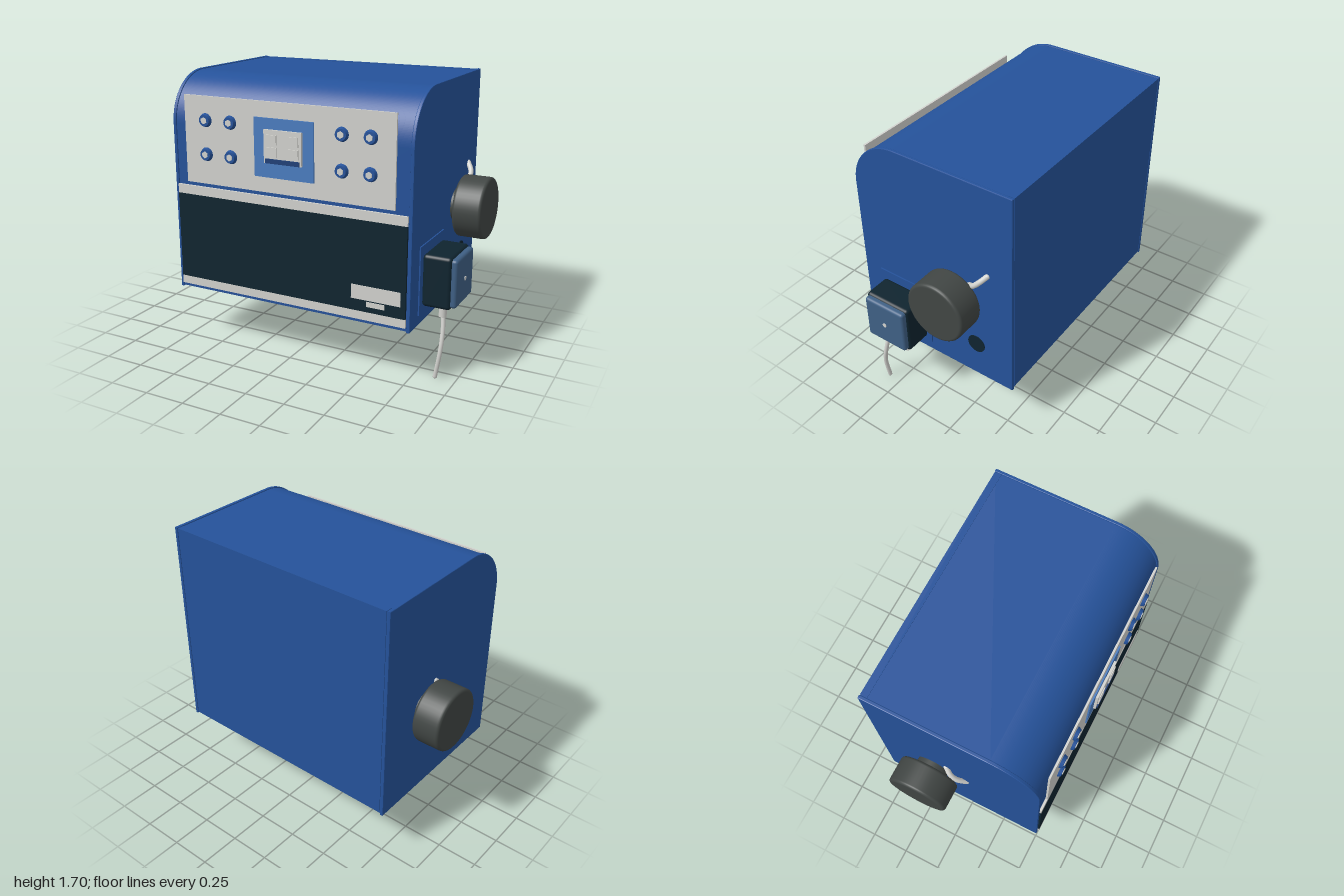
import * as THREE from 'three';
import { RoundedBoxGeometry } from 'three/addons/geometries/RoundedBoxGeometry.js';

const mat = (name, color) => {
  const m = new THREE.MeshStandardMaterial({ color });
  m.name = name;
  return m;
};

export function createModel() {
  const root = new THREE.Group();
  root.name = 'controlCabinet';

  const blue = mat('cabinet blue', 0x25529a);
  const lightBlue = mat('light blue', 0x4a7cc0);
  const navy = mat('navy bar', 0x1f4078);
  const light = mat('light grey', 0xd2d2ce);
  const dark = mat('dark teal', 0x0f242f);
  const steel = mat('slate blue', 0x3f6085);
  const rubber = mat('charcoal', 0x414644);

  const add = (name, geo, material) => {
    const mesh = new THREE.Mesh(geo, material);
    mesh.name = name;
    root.add(mesh);
    return mesh;
  };
  // box given by its limits on each axis
  const box = (name, material, x0, x1, y0, y1, z0, z1, r = 0) => {
    const s = [x1 - x0, y1 - y0, z1 - z0];
    const geo = r ? new RoundedBoxGeometry(...s, 4, r) : new THREE.BoxGeometry(...s);
    const mesh = add(name, geo, material);
    mesh.position.set((x0 + x1) / 2, (y0 + y1) / 2, (z0 + z1) / 2);
    return mesh;
  };
  // cylinder lying along x
  const discX = (name, material, x0, x1, y, z, r) => {
    const geo = new THREE.CylinderGeometry(r, r, x1 - x0, 40).rotateZ(Math.PI / 2);
    add(name, geo, material).position.set((x0 + x1) / 2, y, z);
  };
  const tube = (name, material, points, r, segments = 24) => {
    const pts = points.map((p) => new THREE.Vector3(...p));
    add(name, new THREE.TubeGeometry(new THREE.CatmullRomCurve3(pts), segments, r, 12), material);
    for (const p of [pts[0], pts[pts.length - 1]])
      add(name + 'End', new THREE.SphereGeometry(r, 12, 8), material).position.copy(p);
  };
  // side outline with a rounded upper front corner, extruded along x
  const profile = (name, material, x0, x1, inset, bevel = 0) => {
    const front = -0.517 + inset + bevel, back = 0.557 - inset - bevel;
    const low = 0.338 + inset + bevel, top = 1.695 - inset - bevel, r = 0.3 - inset - bevel;
    const s = new THREE.Shape();
    s.moveTo(front, low);
    s.lineTo(back, low);
    s.lineTo(back, top);
    s.lineTo(front + r, top);
    s.absarc(front + r, top - r, r, Math.PI / 2, Math.PI, false);
    s.lineTo(front, low);
    const geo = new THREE.ExtrudeGeometry(s, {
      depth: x1 - x0 - 2 * bevel, curveSegments: 28, bevelEnabled: bevel > 0,
      bevelSize: bevel, bevelThickness: bevel, bevelSegments: 2,
    });
    add(name, geo.rotateY(Math.PI / 2), material).position.x = x0 + bevel;
  };

  // cabinet: shell, two end plates, back plate
  profile('shell', blue, -0.765, 0.763, 0.006);
  profile('leftEndPlate', blue, 0.764, 0.785, 0, 0.004);
  profile('rightEndPlate', blue, -0.787, -0.766, 0, 0.004);
  box('backPlate', blue, -0.762, 0.76, 0.35, 1.692, -0.555, -0.512);

  // front: instrument panel, trim strips and dark door
  box('instrumentPanel', light, -0.69, 0.685, 1.043, 1.577, 0.514, 0.526);
  box('upperTrim', light, -0.765, 0.76, 0.962, 1.018, 0.505, 0.525);
  box('lowerTrim', light, -0.765, 0.76, 0.366, 0.418, 0.505, 0.525);
  box('door', dark, -0.765, 0.76, 0.418, 0.962, 0.505, 0.526);
  box('label', light, 0.425, 0.73, 0.49, 0.576, 0.525, 0.529);
  box('smallLabel', light, 0.522, 0.634, 0.452, 0.483, 0.525, 0.529);

  // knobs with hexagonal centres
  for (const x of [-0.54, -0.367, 0.362, 0.536]) for (const y of [1.433, 1.227]) {
    const base = new THREE.CylinderGeometry(0.034, 0.042, 0.02, 32).rotateX(Math.PI / 2);
    add('knob', base, blue).position.set(x, y, 0.536);
    const nut = new THREE.CylinderGeometry(0.021, 0.021, 0.008, 6).rotateX(Math.PI / 2);
    add('knobCentre', nut, light).position.set(x, y, 0.546);
  }

  // display with four keys
  box('displayPlate', lightBlue, -0.2, 0.19, 1.136, 1.484, 0.524, 0.535);
  box('display', light, -0.126, 0.12, 1.225, 1.42, 0.534, 0.55);
  box('displayBar', navy, -0.115, 0.11, 1.226, 1.253, 0.549, 0.557);
  for (const x of [-0.072, 0.07]) for (const y of [1.364, 1.292])
    box('key', light, x - 0.032, x + 0.032, y - 0.028, y + 0.028, 0.549, 0.557);

  // side wheels on hubs
  const wheelY = 0.912, wheelZ = -0.187, wr = 0.189, b = 0.018;
  for (const [side, x0, x1] of [[1, 0.822, 1], [-1, 0.828, 1]]) {
    const w = x1 - x0;
    const pts = [[0, 0], [wr - b, 0]];
    for (let i = 1; i <= 4; i++) {
      const a = (i / 4) * Math.PI / 2;
      pts.push([wr - b + b * Math.sin(a), b - b * Math.cos(a)]);
    }
    for (let i = 0; i <= 4; i++) {
      const a = (i / 4) * Math.PI / 2;
      pts.push([wr - b + b * Math.cos(a), w - b + b * Math.sin(a)]);
    }
    pts.push([0, w]);
    const geo = new THREE.LatheGeometry(pts.map((p) => new THREE.Vector2(...p)), 48);
    const wheel = add(side > 0 ? 'leftWheel' : 'rightWheel', geo, rubber);
    wheel.rotation.z = -side * Math.PI / 2;
    wheel.position.set(side * x0, wheelY, wheelZ);
    const h = [side * 0.775, side * (x0 + 0.01)].sort((p, q) => p - q);
    discX('wheelHub', rubber, h[0], h[1], wheelY, wheelZ, 0.1);
  }

  // small bowed grips beside the wheels
  tube('leftGrip', light, [[0.785, 1.13, -0.395], [0.815, 1.09, -0.36],
    [0.82, 1.055, -0.325], [0.785, 1.01, -0.27]], 0.016);
  tube('rightGrip', light, [[-0.785, 1.04, -0.09], [-0.81, 1.0, -0.05],
    [-0.81, 0.96, -0.01], [-0.785, 0.91, 0.04]], 0.016);

  // power unit on the left side with its mounting plate
  box('mountingPlate', blue, 0.78, 0.793, 0.4, 0.812, 0.028, 0.398);
  box('powerUnit', dark, 0.79, 0.962, 0.447, 0.76, 0.054, 0.364, 0.022);
  box('powerUnitCover', steel, 0.93, 0.993, 0.46, 0.748, 0.066, 0.352, 0.018);
  discX('indicator', light, 0.985, 0.997, 0.602, 0.21, 0.013);

  // cable sockets and hanging cord
  for (const z of [0.288, 0.137]) {
    const geo = new THREE.CylinderGeometry(0.023, 0.023, 0.09, 20);
    add('cableSocket', geo, light).position.set(0.896, 0.422, z);
  }
  tube('cord', light, [[0.898, 0.39, 0.286], [0.907, 0.3, 0.306],
    [0.904, 0.17, 0.333], [0.88, 0.013, 0.335]], 0.013, 32);

  // round port below the wheel
  discX('port', dark, 0.78, 0.79, 0.58, -0.308, 0.058);

  return root;
}
